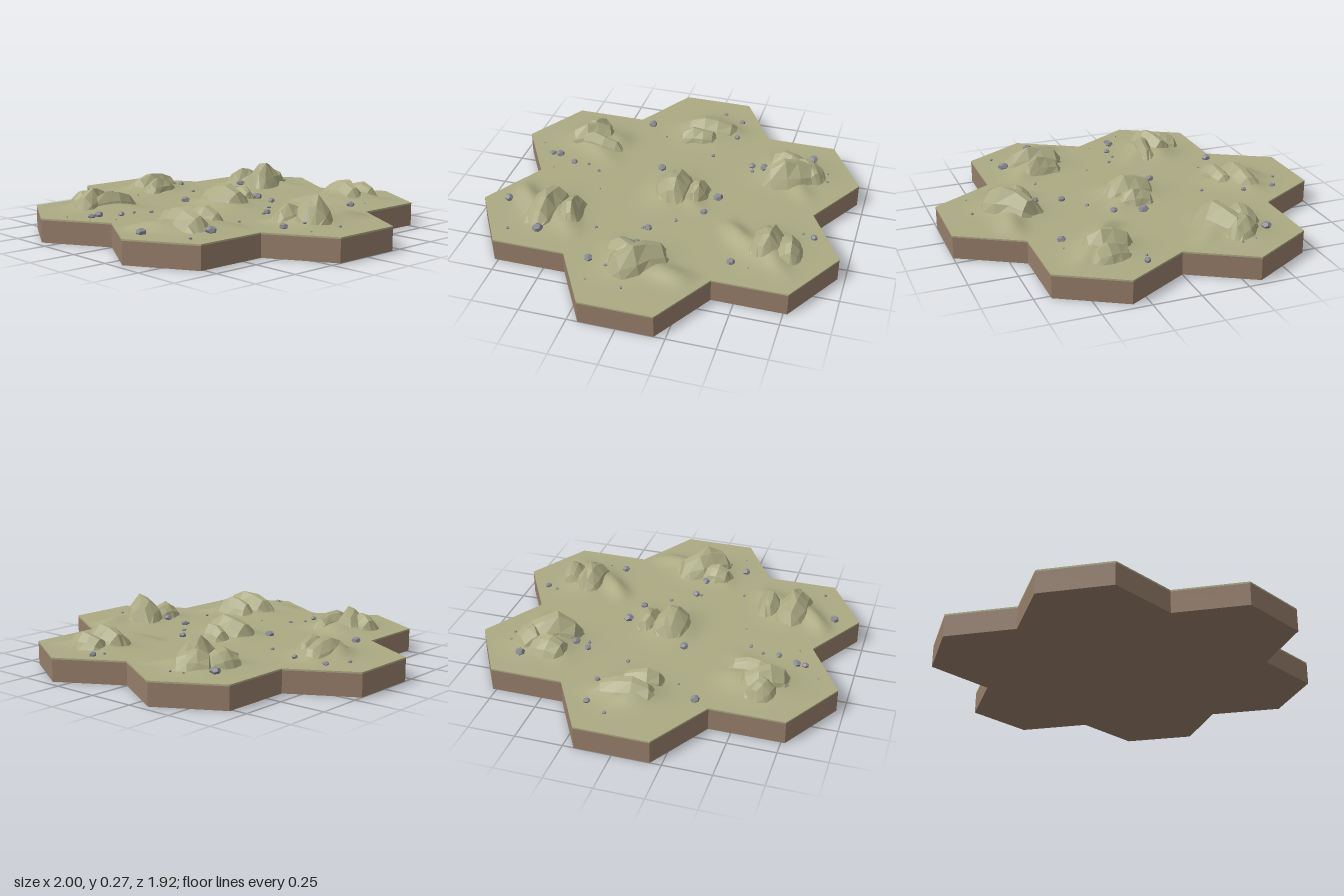
import * as THREE from 'three';
import { mergeVertices } from 'three/addons/utils/BufferGeometryUtils.js';

const R = 0.3849, APOTHEM = 1 / 3, TOP = 0.125, SOIL = 0.116;
const polar = (deg, r) => [r * Math.cos(deg * Math.PI / 180), r * Math.sin(deg * Math.PI / 180)];
const CENTRES = [[0, 0], ...[0, 60, 120, 180, 240, 300].map(a => polar(a, 2 * APOTHEM))];

// Smooth mounds: x, z, angle of long axis, half length, half width, height
const MOUNDS = [
  [-0.35, -0.58, 70, 0.15, 0.11, 0.05], [-0.2, -0.66, -35, 0.1, 0.05, 0.02], [-0.42, -0.5, -40, 0.1, 0.06, 0.015],
  [0.34, -0.6, 10, 0.13, 0.11, 0.045], [0.29, -0.43, -40, 0.12, 0.05, 0.04], [0.45, -0.66, -40, 0.1, 0.05, 0.02],
  [-0.64, -0.02, 80, 0.13, 0.12, 0.045], [-0.72, 0.02, 60, 0.12, 0.05, 0.018], [-0.68, -0.16, 80, 0.07, 0.06, 0.02],
  [0, 0, 20, 0.14, 0.1, 0.045], [0.06, -0.12, -45, 0.1, 0.05, 0.018], [-0.08, 0.08, 10, 0.12, 0.06, 0.012],
  [0.64, 0.02, 55, 0.14, 0.1, 0.045], [0.69, -0.18, 100, 0.12, 0.06, 0.035], [0.56, 0.13, -30, 0.08, 0.06, 0.02],
  [-0.39, 0.58, 80, 0.14, 0.11, 0.045], [-0.26, 0.5, -50, 0.12, 0.06, 0.02], [-0.38, 0.43, 0, 0.08, 0.06, 0.02],
  [0.34, 0.57, 0, 0.13, 0.11, 0.045], [0.27, 0.73, -35, 0.13, 0.05, 0.04], [0.43, 0.45, -40, 0.11, 0.06, 0.025],
];

// Faceted outcrops: x, z, angle of ridge, length, width, peak height
const OUTCROPS = [
  [-0.29, -0.58, 65, 0.33, 0.21, 0.267], [-0.42, -0.55, 105, 0.22, 0.18, 0.222], [-0.36, -0.68, 140, 0.22, 0.17, 0.225],
  [0.33, -0.59, 8, 0.28, 0.18, 0.235], [0.35, -0.7, -10, 0.22, 0.15, 0.212],
  [-0.665, -0.04, 84, 0.34, 0.18, 0.218], [-0.55, 0.01, 78, 0.24, 0.14, 0.208],
  [-0.01, 0, -4, 0.3, 0.22, 0.238], [-0.01, -0.13, 5, 0.2, 0.13, 0.21],
  [0.64, 0, 52, 0.34, 0.22, 0.266], [0.57, 0.09, 100, 0.2, 0.15, 0.22],
  [-0.39, 0.6, 70, 0.28, 0.18, 0.236], [-0.32, 0.53, 100, 0.3, 0.11, 0.218], [-0.47, 0.6, 15, 0.18, 0.16, 0.212],
  [0.34, 0.6, 6, 0.34, 0.2, 0.238], [0.34, 0.46, -8, 0.24, 0.14, 0.225],
];

// Loose stones: x, z, radius
const STONES = [
  [-0.5, -0.68, 0.027], [-0.33, -0.43, 0.025], [-0.35, -0.36, 0.018], [-0.3, -0.37, 0.011], [-0.21, -0.6, 0.012],
  [0.2, -0.81, 0.02], [0.18, -0.75, 0.008], [0.51, -0.445, 0.021], [0.53, -0.54, 0.005], [-0.79, -0.2, 0.016],
  [-0.61, -0.21, 0.016], [-0.855, -0.085, 0.01], [-0.4, -0.12, 0.011], [-0.005, -0.25, 0.026], [0.145, -0.21, 0.019],
  [-0.19, 0.12, 0.025], [0.25, -0.085, 0.011], [0.353, 0.032, 0.021], [0.355, 0.06, 0.01], [0.5, 0.048, 0.022],
  [0.845, 0.02, 0.009], [-0.625, 0.305, 0.025], [0.42, 0.295, 0.009], [0.68, 0.245, 0.024], [0.72, 0.14, 0.01],
  [-0.075, 0.455, 0.011], [-0.123, 0.53, 0.01], [-0.12, 0.615, 0.017], [-0.173, 0.72, 0.024], [-0.173, 0.765, 0.019],
  [0.31, 0.83, 0.025], [0.525, 0.58, 0.027], [0.555, 0.735, 0.01], [0.085, 0.39, 0.005], [-0.39, -0.78, 0.006],
  [-0.315, -0.79, 0.008], [-0.265, 0.85, 0.005], [0.83, 0.21, 0.005], [-0.52, 0.19, 0.006], [-0.04, 0.71, 0.005],
];

function seeded(seed) {
  return () => (seed = (seed * 16807) % 2147483647) / 2147483647;
}

function smooth(lo, hi, v) {
  return THREE.MathUtils.smoothstep(v, lo, hi);
}

// Mounds fade out towards the border of every hexagon
function groundHeight(x, z) {
  let edge = 1;
  for (const [cx, cz] of CENTRES) {
    const d = Math.max(...[0, 60, 120].map(a => {
      const [nx, nz] = polar(a, 1);
      return Math.abs((x - cx) * nx + (z - cz) * nz) / APOTHEM;
    }));
    edge = Math.min(edge, d);
  }
  let h = 0;
  for (const [mx, mz, angle, a, b, height] of MOUNDS) {
    const [c, s] = polar(angle, 1), dx = x - mx, dz = z - mz;
    h += height * Math.exp(-(((dx * c + dz * s) / a) ** 2) - ((dz * c - dx * s) / b) ** 2);
  }
  return TOP + h * (1 - smooth(0.75, 1, edge));
}

// Triangular grid over all seven hexagons
function groundGeometry(n = 16) {
  const pos = [];
  for (const [cx, cz] of CENTRES) for (let k = 0; k < 6; k++) {
    const [ax, az] = polar(30 + 60 * k, R / n), [bx, bz] = polar(90 + 60 * k, R / n);
    const put = (i, j) => {
      const x = cx + ax * i + bx * j, z = cz + az * i + bz * j;
      pos.push(x, groundHeight(x, z), z);
    };
    for (let i = 0; i < n; i++) for (let j = 0; i + j < n; j++) {
      put(i, j); put(i, j + 1); put(i + 1, j);
      if (i + j < n - 1) { put(i + 1, j); put(i, j + 1); put(i + 1, j + 1); }
    }
  }
  const g = new THREE.BufferGeometry();
  g.setAttribute('position', new THREE.Float32BufferAttribute(pos, 3));
  const merged = mergeVertices(g, 1e-4);
  merged.computeVertexNormals();
  return merged;
}

// Outline of the joined hexagons, extruded upwards
function slabGeometry(y0, y1) {
  const pts = [];
  for (let a = 0; a < 360; a += 60) {
    const [cx, cy] = polar(a, 2 * APOTHEM);
    for (const turn of [-90, -30, 30]) {
      const [vx, vy] = polar(a + turn, R);
      pts.push(new THREE.Vector2(cx + vx, cy + vy));
    }
  }
  return new THREE.ExtrudeGeometry(new THREE.Shape(pts), { depth: y1 - y0, bevelEnabled: false })
    .rotateX(-Math.PI / 2).translate(0, y0, 0);
}

// Ridge with angular cross-sections that swell and taper along its length
function outcropGeometry(length, width, height, rand) {
  const along = [-1, -0.72, -0.25, 0.2, 0.7, 1], swell = [0.5, 0.85, 1, 1, 0.85, 0.5];
  const rise = [0, 0.68, 0.93, 1, 0.7, 0];
  const across = [-1, -0.72, -0.2, 0.2, 0.72, 1], profile = [0, 0.5, 1, 0.95, 0.52, 0];
  const jitter = amount => 1 + (rand() - 0.5) * amount;
  const shift = along.map(() => (rand() - 0.5) * 0.2);
  const g = new THREE.PlaneGeometry(1, 1, 5, 5).rotateX(-Math.PI / 2);
  const p = g.attributes.position;
  for (let k = 0; k < p.count; k++) {
    const i = k % 6, j = Math.floor(k / 6);
    const peak = i === 3 && j === 2;
    p.setXYZ(k,
      along[i] * length / 2 * jitter(0.12),
      rise[i] * profile[j] * height * (peak ? 1 : jitter(0.12) * 0.95),
      (across[j] * swell[i] + shift[i]) * width / 2 * jitter(0.15));
  }
  const flat = g.toNonIndexed();
  flat.computeVertexNormals();
  return flat;
}

// Chipped, slightly squashed pebble
function stoneGeometry(r, rand) {
  const g = new THREE.DodecahedronGeometry(r, 0);
  g.rotateX(rand() * 3).rotateZ(rand() * 3);
  g.scale(0.9 + rand() * 0.3, 0.65 + rand() * 0.2, 0.85 + rand() * 0.3);
  g.rotateY(rand() * 6);
  g.computeVertexNormals();
  return g;
}

export function createModel() {
  const model = new THREE.Group();
  const material = (name, color) => Object.assign(new THREE.MeshStandardMaterial({ color }), { name });
  const grass = material('dry grass', 0xabaa83);
  const soil = material('brown soil', 0x957d69);
  const grey = material('grey stone', 0x8a8a94);
  const add = (name, geometry, mat, parent = model) => {
    const mesh = new THREE.Mesh(geometry, mat);
    mesh.name = name;
    parent.add(mesh);
    return mesh;
  };

  add('soilBase', slabGeometry(0, SOIL), soil);
  add('grassRim', slabGeometry(SOIL, TOP - 0.0005), grass);
  add('ground', groundGeometry(), grass);

  const rand = seeded(4217);
  const outcrops = new THREE.Group();
  outcrops.name = 'outcrops';
  const base = TOP - 0.003;
  for (const [x, z, angle, length, width, peak] of OUTCROPS) {
    const mesh = add('outcrop', outcropGeometry(length, width, peak - base, rand), grass, outcrops);
    mesh.position.set(x, base, z);
    mesh.rotation.y = -angle * Math.PI / 180;
  }

  const stones = new THREE.Group();
  stones.name = 'stones';
  for (const [x, z, r] of STONES) {
    add('stone', stoneGeometry(r, rand), grey, stones).position.set(x, groundHeight(x, z) + r * 0.4, z);
  }
  model.add(outcrops, stones);
  return model;
}
